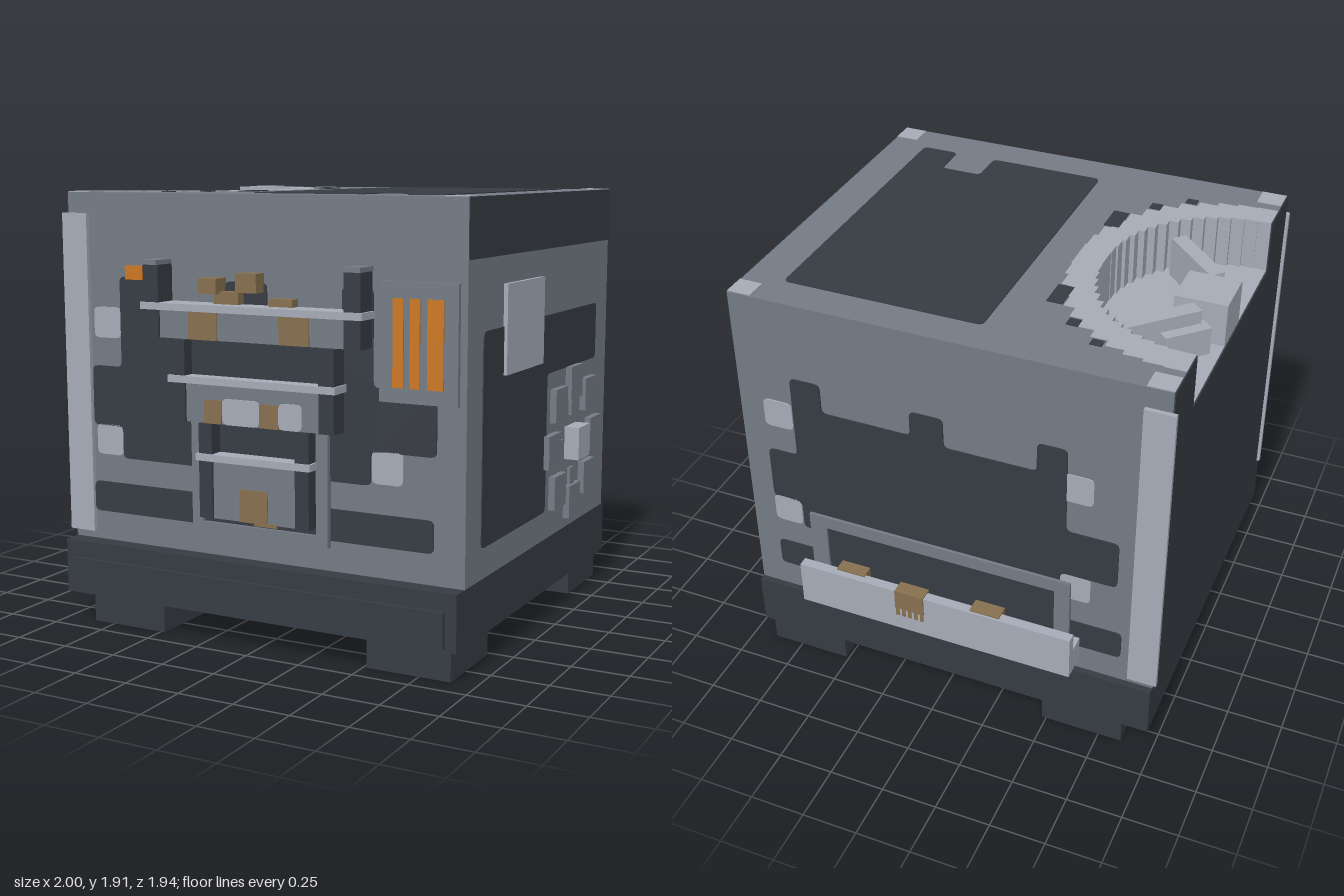
import * as THREE from 'three';

const material = (name, color) => {
  const m = new THREE.MeshStandardMaterial({ color });
  m.name = name;
  return m;
};

export function createModel() {
  const grey = material('midGrey', 0x737b84);
  const dark = material('darkSlate', 0x363b43);
  const light = material('lightGrey', 0xa5abb7);
  const orange = material('orange', 0xcc7722);
  const brown = material('brown', 0x86704f);

  const model = new THREE.Group();
  const group = (name) => {
    const g = new THREE.Group();
    g.name = name;
    model.add(g);
    return g;
  };
  const add = (parent, name, mat, geo) => {
    const mesh = new THREE.Mesh(geo, mat);
    mesh.name = name;
    parent.add(mesh);
    return mesh;
  };
  // Box given by its limits on each axis
  const box = (parent, name, mat, x0, x1, y0, y1, z0, z1) =>
    add(parent, name, mat, new THREE.BoxGeometry(x1 - x0, y1 - y0, z1 - z0)
      .translate((x0 + x1) / 2, (y0 + y1) / 2, (z0 + z1) / 2));
  // Polygon with rounded corners
  const rounded = (pts, r = 0.025) => {
    const s = new THREE.Shape();
    pts.forEach(([x, y], i) => {
      const c = new THREE.Vector2(x, y);
      const toward = (p) => {
        const d = new THREE.Vector2(...p).sub(c);
        return c.clone().add(d.setLength(Math.min(r, d.length() / 2)));
      };
      const a = toward(pts[(i + pts.length - 1) % pts.length]);
      const b = toward(pts[(i + 1) % pts.length]);
      if (i) s.lineTo(a.x, a.y); else s.moveTo(a.x, a.y);
      s.quadraticCurveTo(x, y, b.x, b.y);
    });
    s.closePath();
    return s;
  };
  const extrude = (shape, depth) =>
    new THREE.ExtrudeGeometry(shape, { depth, bevelEnabled: false, curveSegments: 3 });
  const plate = (parent, name, mat, pts, z, t = 0.006) =>
    add(parent, name, mat, extrude(rounded(pts), t).translate(0, 0, z));
  const rect = (x0, x1, y0, y1) => [[x0, y0], [x1, y0], [x1, y1], [x0, y1]];
  const flat = (shape, y0, y1) => extrude(shape, y1 - y0).rotateX(-Math.PI / 2).translate(0, y0, 0);

  // Base and feet
  const base = group('base');
  box(base, 'plinth', dark, -0.98, 0.925, 0.13, 0.37, -0.87, 0.93);
  box(base, 'plinthPlate', dark, -0.93, 0.875, 0.145, 0.295, 0.93, 0.95);
  for (const [x0, x1] of [[-0.855, -0.48], [0.515, 0.89]])
    for (const [z0, z1] of [[-0.85, -0.48], [0.52, 0.9]])
      box(base, 'foot', dark, x0, x1, 0, 0.13, z0, z1);

  // Body with a stepped half-round recess at the left of the roof
  const floorY = 1.67, topY = 1.91, left = -0.98;
  const stairs = (r, n) => {
    const half = [];
    for (let i = 0; i < n; i++) {
      const a = i / n * Math.PI / 2, b = (i + 1) / n * Math.PI / 2;
      half.push([left + r * Math.cos(a), r * Math.sin(a)], [left + r * Math.cos(a), r * Math.sin(b)]);
    }
    half.push([left, r]);
    return [...half.slice().reverse(), ...half.slice(1).map(([x, y]) => [x, -y])];
  };
  const polygon = (pts) => new THREE.Shape(pts.map((p) => new THREE.Vector2(...p)));
  const outer = stairs(0.69, 12), inner = stairs(0.565, 15);
  const body = group('body');
  box(body, 'lowerBody', grey, left, 0.925, 0.37, floorY, -0.84, 0.85);
  add(body, 'upperBody', grey, flat(polygon(
    [[left, -0.85], [0.925, -0.85], [0.925, 0.84], [left, 0.84], ...outer]), floorY, topY));
  add(body, 'steppedRing', light, flat(polygon([...outer, ...inner.slice().reverse()]), floorY, topY + 0.002));
  add(body, 'recessFloor', light, flat(polygon(inner.slice().reverse()), floorY, floorY + 0.006));
  box(body, 'leftPanel', dark, -0.986, left, 0.37, floorY, -0.84, 0.85);
  for (const [z0, z1] of [[-0.84, -0.57], [0.57, 0.85]])
    box(body, 'leftPanelShoulder', dark, -0.986, left, floorY, topY, z0, z1);
  for (const [z0, z1] of [[-0.86, -0.84], [0.85, 0.87]])
    box(body, 'cornerStrip', light, -1, -0.87, 0.405, 1.82, z0, z1);

  // Blocks inside the recess
  const recess = group('recessBlocks');
  box(recess, 'centreBlock', light, -0.98, -0.75, floorY, 1.87, -0.11, 0.11);
  for (const s of [-1, 1]) {
    for (const [x, z, len, top] of [[-0.74, 0.265, 0.35, 1.86], [-0.84, 0.235, 0.21, 1.8]]) {
      const bar = add(recess, 'angledBar', light, new THREE.BoxGeometry(len, top - floorY, 0.07));
      bar.position.set(x, (floorY + top) / 2, s * z);
      bar.rotation.y = -s * Math.PI / 4;
    }
  }

  // Roof markings
  const roof = group('roofMarkings');
  add(roof, 'roofPanel', dark, flat(rounded([[-0.14, -0.68], [0.39, -0.68], [0.39, -0.51], [0.58, -0.51],
    [0.58, -0.68], [0.75, -0.68], [0.75, 0.68], [-0.14, 0.68]]), topY, topY + 0.004));
  for (const [x0, x1] of [[-0.98, -0.87], [0.82, 0.925]])
    for (const [z0, z1] of [[-0.835, -0.735], [0.74, 0.845]])
      box(roof, 'cornerPatch', light, x0, x1, topY, topY + 0.004, z0, z1);
  for (const s of [-1, 1])
    for (const [x, z, w, d] of [[-0.34, 0.345, 0.07, 0.14], [-0.465, 0.525, 0.05, 0.05], [-0.6, 0.63, 0.05, 0.04]])
      box(roof, 'darkFleck', dark, x - w / 2, x + w / 2, topY, topY + 0.004, s * z - d / 2, s * z + d / 2);

  // Front markings
  const front = group('front');
  const F = 0.85;
  plate(front, 'frontPattern', dark, [[-0.71, 0.75], [0.51, 0.75], [0.51, 0.89], [0.8, 0.89], [0.8, 1.15],
    [0.52, 1.15], [0.52, 1.55], [0.38, 1.55], [0.38, 1.41], [0.03, 1.41], [0.03, 1.55], [-0.17, 1.55],
    [-0.17, 1.41], [-0.575, 1.41], [-0.575, 1.55], [-0.71, 1.55], [-0.71, 1.155], [-0.865, 1.155],
    [-0.865, 0.89], [-0.71, 0.89]], F);
  plate(front, 'lowerStripe', dark, rect(-0.87, 0.79, 0.5, 0.635), F);
  for (const [x, y] of [[-0.85, 1.28], [-0.85, 0.76], [0.515, 0.76]])
    plate(front, 'lightPatch', light, rect(x, x + 0.14, y, y + 0.135), F);
  box(front, 'orangeTag', orange, -0.67, -0.58, 1.54, 1.6, F, F + 0.02);

  // Slotted panel
  box(front, 'slotPanel', grey, 0.555, 0.895, 1.1, 1.58, F, F + 0.02);
  for (const [x0, x1] of [[0.615, 0.662], [0.69, 0.733], [0.765, 0.835]])
    box(front, 'orangeSlot', orange, x0, x1, 1.16, 1.515, F + 0.02, F + 0.026);

  // Three stacked troughs, narrowing downward
  const tiers = group('troughs');
  const tier = (half, post, y0, slat, postTop, z) => {
    box(tiers, 'troughFront', grey, -half + post, half - post, y0, slat, F, z - 0.02);
    box(tiers, 'troughRail', light, -half - 0.01, half + 0.01, slat, slat + 0.03, F, z);
    for (const s of [-1, 1]) {
      const x = s * (half - post / 2);
      box(tiers, 'troughPost', dark, x - post / 2, x + post / 2, y0, postTop, F, z - 0.01);
    }
  };
  tier(0.515, 0.075, 1.31, 1.428, 1.615, 0.965);
  tier(0.39, 0.07, 0.96, 1.125, 1.305, 0.955);
  tier(0.265, 0.065, 0.55, 0.797, 0.955, 0.94);
  for (const s of [-1, 1])
    box(tiers, 'postCap', grey, s * 0.48 - 0.038, s * 0.48 + 0.038, 1.615, 1.635, F, 0.965);
  box(tiers, 'middleBacking', dark, -0.32, 0.32, 1.155, 1.31, F, 0.89);
  box(tiers, 'lowerBacking', dark, -0.28, 0.27, 0.52, 0.96, F, 0.865);
  const frame = polygon(rect(-0.335, 0.325, 0.47, 0.96));
  frame.holes.push(polygon(rect(-0.28, 0.27, 0.52, 0.95)));
  add(tiers, 'lowerFrame', grey, extrude(frame, 0.03).translate(0, 0, F));
  const mark = (mat, name, x0, x1, y0, y1, z) => box(tiers, name, mat, x0, x1, y0, y1, z, z + 0.005);
  mark(brown, 'brownPatch', -0.295, -0.155, 1.31, 1.425, 0.945);
  mark(brown, 'brownPatch', 0.14, 0.28, 1.31, 1.425, 0.945);
  mark(brown, 'brownPatch', -0.23, -0.145, 0.96, 1.06, 0.935);
  mark(brown, 'brownPatch', 0.04, 0.13, 0.96, 1.06, 0.935);
  mark(brown, 'brownPatch', -0.07, 0.065, 0.55, 0.69, 0.92);
  mark(brown, 'brownDrip', 0, 0.11, 0.54, 0.555, 0.92);
  plate(tiers, 'lightPatch', light, rect(-0.14, 0.04, 0.96, 1.07), 0.935);
  plate(tiers, 'lightPatch', light, rect(0.13, 0.24, 0.96, 1.07), 0.935);
  box(tiers, 'brownBlock', brown, -0.255, -0.17, 1.5, 1.565, F, 0.93);
  box(tiers, 'brownBlock', brown, -0.085, 0.015, 1.51, 1.59, F, 0.915);
  box(tiers, 'brownBlock', brown, -0.2, -0.08, 1.455, 1.51, F, 0.9);
  box(tiers, 'brownBlock', brown, 0.065, 0.175, 1.455, 1.49, F, 0.9);

  // Right side, laid out with +z outward and turned into place
  const side = group('rightSide');
  side.rotation.y = Math.PI / 2;
  const R = 0.925;
  box(side, 'topBand', dark, -0.85, 0.84, 1.67, topY, R, R + 0.004);
  plate(side, 'sidePattern', dark, [[-0.695, 0.5], [0.03, 0.5], [0.03, 1.12], [0.675, 1.12],
    [0.675, 1.38], [-0.695, 1.38]], R, 0.004);
  box(side, 'sidePlate', light, -0.485, -0.06, 1.18, 1.555, R, R + 0.018);
  const cu = 0.355, cy = 0.77, h = 0.075;
  box(side, 'hubBlock', light, cu - h, cu + h, cy - h, cy + h, R, 0.995);
  for (let i = 0; i < 8; i++) {
    const a = i * Math.PI / 4, r = i % 2 ? 0.28 : 0.277;
    const u = cu + r * Math.cos(a), y = cy + r * Math.sin(a);
    box(side, 'ringBlock', grey, u - h, u + h, y - h, y + h, R, 0.955);
    if (i % 2) continue;
    const su = cu + 0.163 * Math.cos(a), sy = cy + 0.163 * Math.sin(a);
    const [w, t] = i % 4 ? [0.027, 0.04] : [0.04, 0.027];
    box(side, 'ringStem', grey, su - w, su + w, sy - t, sy + t, R, 0.94);
  }

  // Back, laid out with +z outward and turned round
  const back = group('back');
  back.rotation.y = Math.PI;
  const B = 0.84;
  plate(back, 'backPattern', dark, [[-0.67, 0.75], [0.55, 0.75], [0.55, 0.89], [0.8, 0.89], [0.8, 1.12],
    [0.57, 1.12], [0.57, 1.53], [0.44, 1.53], [0.44, 1.39], [0.03, 1.39], [0.03, 1.53], [-0.12, 1.53],
    [-0.12, 1.41], [-0.53, 1.41], [-0.53, 1.55], [-0.67, 1.55], [-0.67, 1.15], [-0.81, 1.15],
    [-0.81, 0.89], [-0.67, 0.89]], B);
  plate(back, 'lowerStripe', dark, rect(-0.81, 0.83, 0.5, 0.635), B);
  for (const x of [-0.81, 0.55])
    for (const y of [1.28, 0.76])
      plate(back, 'lightPatch', light, rect(x, x + 0.135, y, y + 0.135), B);
  const window = polygon(rect(-0.63, 0.6, 0.44, 0.85));
  window.holes.push(polygon(rect(-0.55, 0.53, 0.5, 0.79)));
  add(back, 'windowFrame', grey, extrude(window, 0.02).translate(0, 0, B));
  box(back, 'windowPane', dark, -0.55, 0.53, 0.5, 0.79, B, B + 0.008);
  box(back, 'trayFloor', light, -0.635, 0.645, 0.43, 0.55, B, 0.925);
  box(back, 'trayLip', light, -0.635, 0.645, 0.43, 0.64, 0.925, 0.97);
  for (const [u, z0, z1] of [[-0.4, 0.88, 0.94], [-0.1, 0.91, 0.976], [0.25, 0.89, 0.96]])
    box(back, 'brownHeap', brown, u - 0.068, u + 0.068, 0.55, 0.646, z0, z1);
  for (let i = 0; i < 5; i++)
    box(back, 'brownDrip', brown, -0.165 + i * 0.029, -0.15 + i * 0.029, 0.51, 0.55, 0.97, 0.976);

  return model;
}
